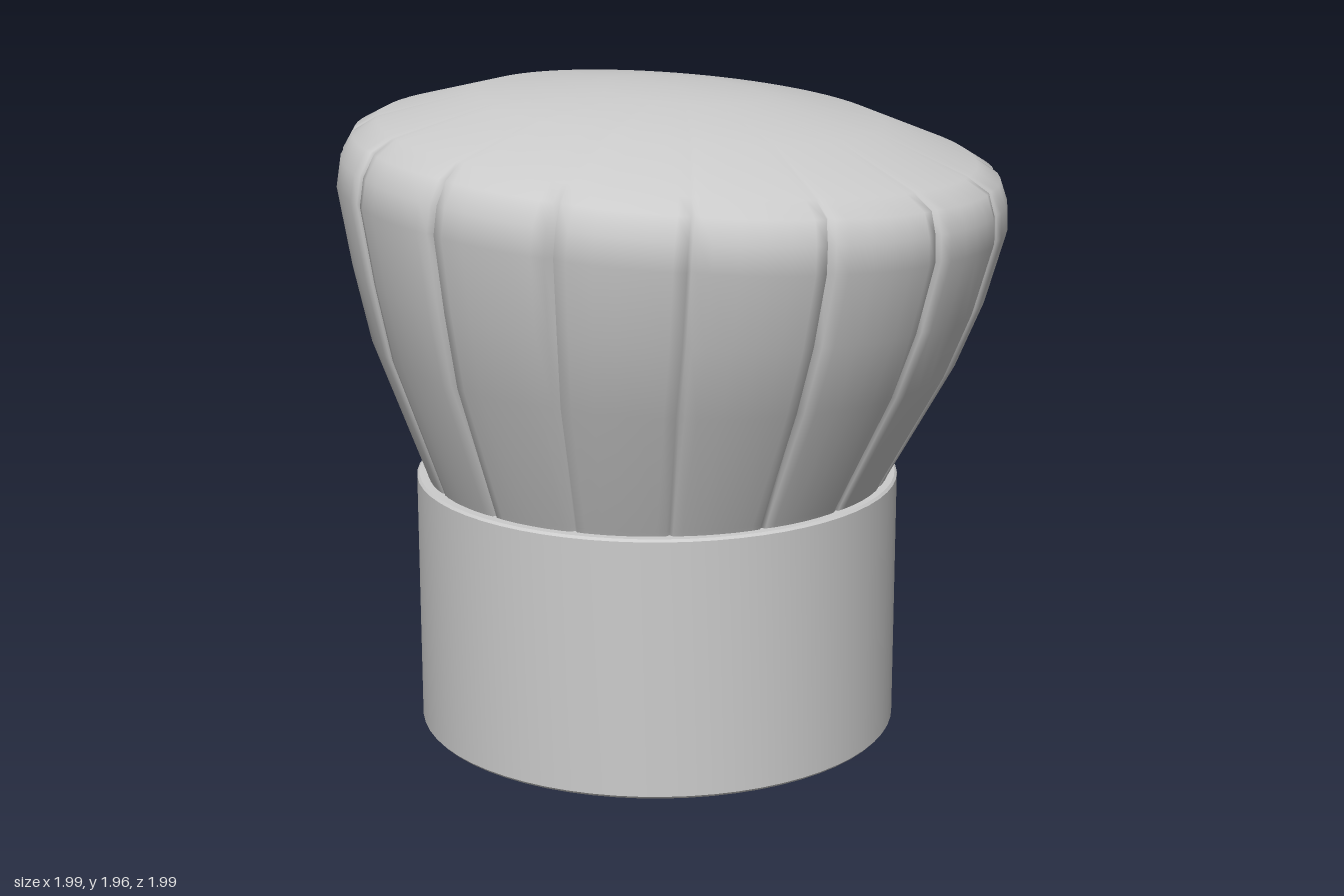
import * as THREE from 'three';
import { toCreasedNormals } from 'three/addons/utils/BufferGeometryUtils.js';

const PLEATS = 16;
const BAND_X = -0.053;

// Hollow cylindrical band with a wall and slightly softened rims
function createBand(material) {
  const profile = [
    [0.685, 0.785], [0.685, 0.008], [0.692, 0], [0.726, 0],
    [0.733, 0.008], [0.733, 0.778], [0.726, 0.785], [0.685, 0.785],
  ].map(([r, y]) => new THREE.Vector2(r, y));
  const band = new THREE.Mesh(toCreasedNormals(new THREE.LatheGeometry(profile, 64), 0.6), material);
  band.name = 'headband';
  band.position.x = BAND_X;
  return band;
}

// Pleated crown: tilted rings, each cut by narrow folds that fade out on top
function createCrown(material) {
  // height, radius, centre x, drop from left to right per unit, fold depth
  const rings = [
    [0.74, 0.685, BAND_X, 0, 0.01],
    [0.80, 0.708, -0.05, 0, 0.015],
    [1.185, 0.88, -0.03, -0.04, 0.035],
    [1.40, 0.945, -0.015, -0.058, 0.042],
    [1.62, 0.993, -0.005, -0.07, 0.045],
    [1.70, 0.985, 0, -0.073, 0.042],
    [1.765, 0.955, 0.008, -0.075, 0.025],
    [1.805, 0.885, 0.01, -0.078, 0.004],
    [1.898, 0.6, 0.02, -0.08, 0],
    [1.942, 0.25, 0.02, -0.07, 0],
  ];
  // position across one pleat, share of the fold depth
  const fold = [[0, 1], [0.035, 0.25], [0.13, 0.08], [0.32, 0], [0.5, 0], [0.68, 0], [0.87, 0.08], [0.965, 0.25]];
  const count = PLEATS * fold.length;
  const positions = [];
  const indices = [];

  for (const [y, radius, cx, slope, depth] of rings) {
    for (let p = 0; p < PLEATS; p++) {
      for (const [f, share] of fold) {
        const a = ((p + f + 0.5) / PLEATS) * Math.PI * 2 - 0.017;
        const r = radius - depth * share;
        const x = r * Math.cos(a);
        positions.push(cx + x, y + slope * x, r * Math.sin(a));
      }
    }
  }
  for (let i = 0; i < rings.length - 1; i++) {
    for (let j = 0; j < count; j++) {
      const k = (j + 1) % count;
      const a = i * count + j, b = i * count + k;
      indices.push(a, a + count, b + count, a, b + count, b);
    }
  }
  // Close the top with a fan
  const last = (rings.length - 1) * count;
  const apex = positions.length / 3;
  positions.push(0, 1.952, 0);
  for (let j = 0; j < count; j++) indices.push(last + j, apex, last + ((j + 1) % count));

  const geometry = new THREE.BufferGeometry();
  geometry.setAttribute('position', new THREE.Float32BufferAttribute(positions, 3));
  geometry.setIndex(indices);
  geometry.computeVertexNormals();
  const crown = new THREE.Mesh(geometry, material);
  crown.name = 'pleatedCrown';
  return crown;
}

export function createModel() {
  const group = new THREE.Group();
  group.name = 'chefHat';
  const solid = new THREE.MeshStandardMaterial({ color: 0xcccccc });
  const cloth = new THREE.MeshStandardMaterial({ color: 0xcccccc, side: THREE.DoubleSide });
  group.add(createBand(solid), createCrown(cloth));
  return group;
}
